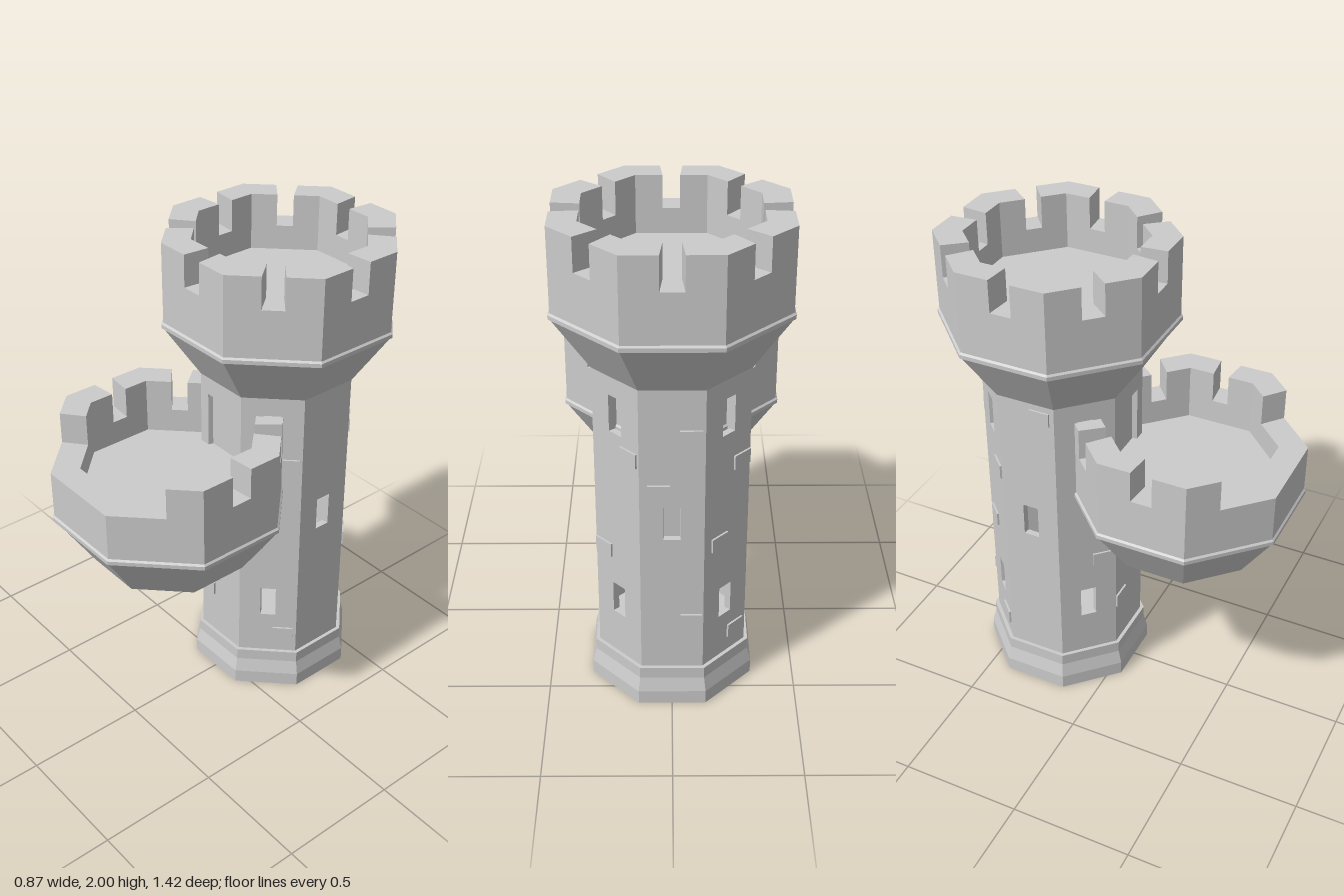
import * as THREE from 'three';

const TAN = Math.tan(Math.PI / 8), COS = Math.cos(Math.PI / 8);
const stone = new THREE.MeshStandardMaterial({ color: 0xcccccc, flatShading: true });

function mesh(name, geometry) {
  const m = new THREE.Mesh(geometry, stone);
  m.name = name;
  return m;
}

// Solid eight-sided turning; the profile lists [face distance, height] upwards
function octagon(name, profile) {
  const pts = profile.map(([a, y]) => new THREE.Vector2(a / COS, y));
  return mesh(name, new THREE.LatheGeometry(pts, 8, Math.PI / 8));
}

// One wall of an octagon, cut from a shape and mitred towards the axis
function wall(name, points, holes, apothem, depth, k) {
  const toPath = ([x0, x1, y0, y1]) => new THREE.Path(
    [[x0, y0], [x0, y1], [x1, y1], [x1, y0]].map(p => new THREE.Vector2(...p)));
  const shape = new THREE.Shape(points.map(p => new THREE.Vector2(...p)));
  shape.holes = holes.map(toPath);
  const g = new THREE.ExtrudeGeometry(shape, { depth, bevelEnabled: false });
  g.translate(0, 0, apothem - depth);
  const pos = g.attributes.position;
  for (let i = 0; i < pos.count; i++) pos.setX(i, pos.getX(i) * pos.getZ(i) / apothem);
  const m = mesh(name, g);
  m.rotation.y = k * Math.PI / 4;
  return m;
}

// Flared platform with a notched parapet; openFront drops the front merlons
function crown(name, openFront) {
  const group = new THREE.Group();
  group.name = name;
  group.add(octagon('flaredSupport', [
    [0, 0], [0.295, 0], [0.43, 0.22], [0.437, 0.222], [0.437, 0.238],
    [0.43, 0.245], [0.4, 0.245], [0.4, 0.34], [0, 0.34]]));
  const a = 0.43, L = a * TAN, n = 0.043, sill = 0.44, top = 0.57;
  for (let k = 0; k < 8; k++) {
    if (openFront && k === 4) continue; // lies inside the shaft
    const rightUp = !(openFront && (k === 0 || k === 7));
    const leftUp = !(openFront && (k === 0 || k === 1));
    const pts = [[-L, 0.24], [L, 0.24]];
    if (rightUp) pts.push([L, top], [n, top], [n, sill]);
    else pts.push([L, sill]);
    if (leftUp) pts.push([-n, sill], [-n, top], [-L, top]);
    else pts.push([-L, sill]);
    group.add(wall('parapet', pts, [], a, 0.105, k));
  }
  return group;
}

export function createModel() {
  const model = new THREE.Group();
  model.name = 'castleTower';
  const tower = new THREE.Group();
  tower.name = 'mainTower';
  tower.position.z = -0.275;
  model.add(tower);

  // Stepped foot
  tower.add(octagon('base', [
    [0, 0], [0.325, 0], [0.325, 0.06], [0.31, 0.12], [0.31, 0.17], [0, 0.17]]));

  // Hollow shaft with through windows and a door to the balcony
  const a = 0.295, L = a * TAN, w = 0.033;
  const slits = [[-w, w, 0.365, 0.505], [-w, w, 1.2, 1.353]];
  const sideWindow = [[-w, w, 0.785, 0.93]];
  const doorway = [[-0.077, 0.077, 1.1, 1.355]];
  for (let k = 0; k < 8; k++) {
    const holes = k % 2 ? slits : k ? sideWindow : doorway;
    tower.add(wall('shaftWall', [[-L, 0.1], [L, 0.1], [L, 1.44], [-L, 1.44]], holes, a, 0.027, k));
  }
  const door = mesh('door', new THREE.BoxGeometry(0.18, 0.28, 0.02));
  door.position.set(0, 1.23, a - 0.03);
  tower.add(door);

  // Raised stones: face number, sideways offset, height
  const stones = [
    [0, -0.08, 0.4], [1, -0.07, 0.735], [1, 0.065, 0.267], [1, 0.07, 1.127],
    [3, 0.07, 1.13], [3, -0.075, 0.66], [4, 0.075, 0.4], [4, 0.07, 1.235],
    [4, -0.05, 1.0], [5, -0.04, 0.735], [5, 0.075, 1.06], [5, 0.06, 0.267],
    [6, 0.06, 1.375], [7, 0.065, 0.66]];
  for (const [k, x, y] of stones) {
    const face = new THREE.Group();
    face.name = 'raisedStone';
    face.rotation.y = k * Math.PI / 4;
    const block = mesh('stoneBlock', new THREE.BoxGeometry(0.085, 0.06, 0.024));
    block.position.set(x, y, a - 0.004);
    face.add(block);
    tower.add(face);
  }

  // Battlements on top of the shaft
  const head = crown('battlements', false);
  head.position.y = 1.43;
  tower.add(head);

  // Open-fronted balcony grown into the shaft
  const balcony = crown('balcony', true);
  balcony.position.set(0, 0.78, 0.275);
  model.add(balcony);
  return model;
}
